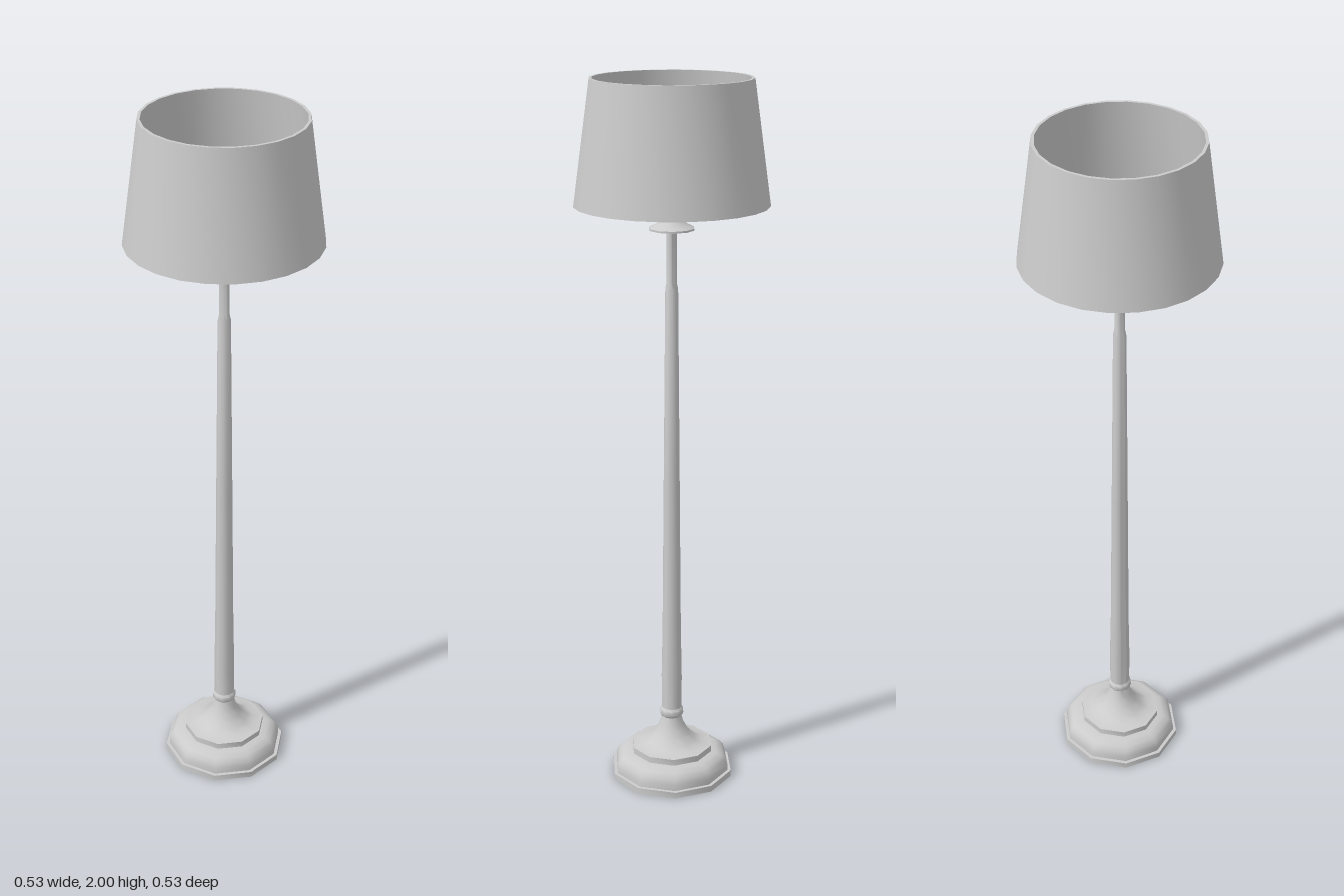
import * as THREE from 'three';
import { toCreasedNormals } from 'three/addons/utils/BufferGeometryUtils.js';

const material = new THREE.MeshStandardMaterial({ color: 0xcccccc });

// Turned part from [radius, height] pairs listed bottom to top
function turned(name, profile, segments) {
  const points = profile.map(([r, y]) => new THREE.Vector2(r, y));
  const geometry = toCreasedNormals(new THREE.LatheGeometry(points, segments), 0.7);
  const mesh = new THREE.Mesh(geometry, material);
  mesh.name = name;
  return mesh;
}

export function createModel() {
  const lamp = new THREE.Group();
  lamp.name = 'floorLamp';

  // Stepped foot with a rounded tier, an upper plate and a flared neck
  lamp.add(turned('base', [
    [0, 0], [0.178, 0], [0.178, 0.018], [0.168, 0.018],
    [0.168, 0.034], [0.163, 0.05], [0.153, 0.062], [0.136, 0.07], [0.118, 0.072],
    [0.118, 0.09], [0.09, 0.093], [0.07, 0.104], [0.05, 0.125],
    [0.036, 0.15], [0.028, 0.178], [0, 0.178],
  ], 10));

  // Collar ring under the pole
  lamp.add(turned('collar', [
    [0, 0.176], [0.028, 0.176], [0.034, 0.183], [0.035, 0.19],
    [0.034, 0.197], [0.029, 0.204], [0, 0.204],
  ], 10));

  // Slender tapering pole
  lamp.add(turned('pole', [
    [0.029, 0.2], [0.03, 0.3], [0.027, 0.45], [0.023, 0.9],
    [0.018, 1.44], [0.014, 1.46], [0.014, 1.61],
  ], 10));

  // Flared cap at the top of the pole
  lamp.add(turned('poleCap', [
    [0, 1.602], [0.063, 1.602], [0.063, 1.607], [0.043, 1.617],
    [0.028, 1.63], [0.018, 1.65], [0.014, 1.685],
  ], 10));

  // Disc holding the spokes and bulb
  lamp.add(turned('bulbHolder', [
    [0, 1.684], [0.052, 1.684], [0.052, 1.69], [0.025, 1.697],
    [0.015, 1.71], [0.014, 1.725], [0, 1.725],
  ], 10));

  // Bulb
  lamp.add(turned('bulb', [
    [0.013, 1.72], [0.018, 1.733], [0.029, 1.753], [0.035, 1.775],
    [0.031, 1.793], [0.018, 1.806], [0, 1.811],
  ], 8));

  // Four spokes, each with a thicker end fixed to the shade
  const rodGeometry = new THREE.CylinderGeometry(0.002, 0.002, 0.25, 6);
  rodGeometry.rotateZ(Math.PI / 2).translate(0.125, 1.69, 0);
  const endGeometry = new THREE.CylinderGeometry(0.004, 0.004, 0.054, 6);
  endGeometry.rotateZ(Math.PI / 2).translate(0.228, 1.69, 0);
  for (let i = 0; i < 4; i++) {
    const spoke = new THREE.Group();
    spoke.name = 'shadeSpoke';
    const rod = new THREE.Mesh(rodGeometry, material);
    rod.name = 'spokeRod';
    const end = new THREE.Mesh(endGeometry, material);
    end.name = 'spokeEnd';
    spoke.add(rod, end);
    spoke.rotation.y = i * Math.PI / 2;
    lamp.add(spoke);
  }

  // Tapered drum shade with a thin wall, open above and below
  lamp.add(turned('shade', [
    [0.255, 1.668], [0.263, 1.668], [0.217, 2], [0.209, 2], [0.255, 1.668],
  ], 24));

  return lamp;
}
